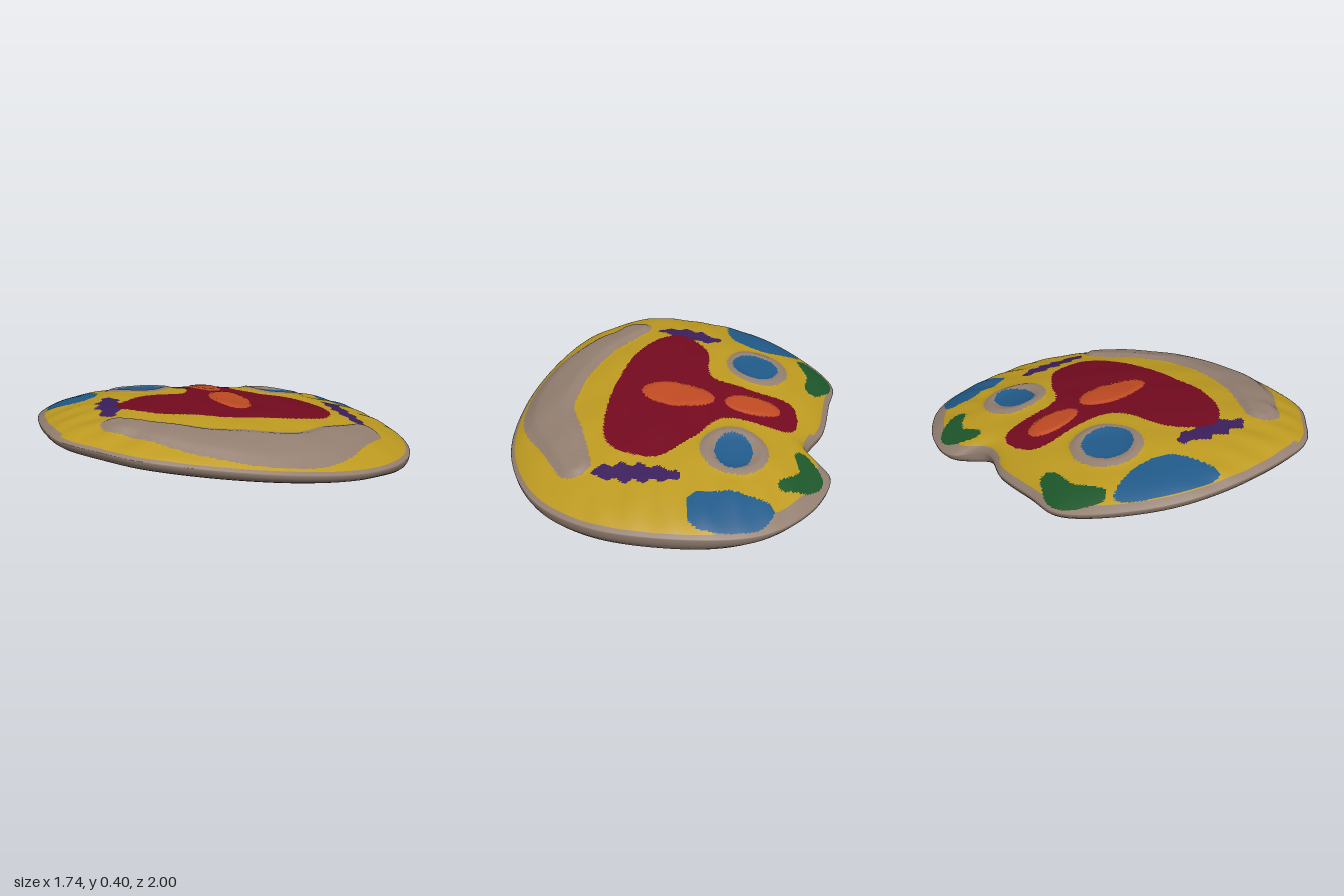
import * as THREE from 'three';

const SEGS = 320, TOP_RINGS = 84, SHEET_RINGS = 36;
const { smoothstep } = THREE.MathUtils;

// Evenly spaced points on a smooth line through x,z pairs
function spline(flat, closed, n) {
  const pts = [];
  for (let i = 0; i < flat.length; i += 2) pts.push(new THREE.Vector3(flat[i], 0, flat[i + 1]));
  return new THREE.CatmullRomCurve3(pts, closed, 'centripetal').getSpacedPoints(n);
}

function insideLoop(pts, x, z) {
  let inside = false;
  pts.forEach((a, i) => {
    const b = pts[(i + 1) % pts.length];
    if ((a.z > z) !== (b.z > z) && x < (b.x - a.x) * (z - a.z) / (b.z - a.z) + a.x) inside = !inside;
  });
  return inside;
}

// Each region helper returns a function of x,z that is below 1 inside the region

function oval(cx, cz, rx, rz, turn = 0) {
  const c = Math.cos(turn), s = Math.sin(turn);
  return (x, z) => Math.hypot(((x - cx) * c + (z - cz) * s) / rx, ((z - cz) * c - (x - cx) * s) / rz);
}

// Rounded band along a line, thicker in the middle, with an optional ragged edge
function band(flat, radius, ragged = 0) {
  const pts = spline(flat, false, 30);
  return (x, z) => {
    let best = 9;
    pts.forEach((p, i) => {
      const r = radius * (.6 + .4 * Math.sin(Math.PI * i / 30));
      best = Math.min(best, Math.hypot(p.x - x, p.z - z) / r);
    });
    return best / (1 + ragged * Math.sin(75 * x));
  };
}

function blob(flat) {
  const pts = spline(flat, true, 80);
  return (x, z) => (insideLoop(pts, x, z) ? 0 : 2);
}

const outlinePath = [-.12, -1, .22, -.945, .55, -.8, .78, -.55, .87, -.18, .8, .2, .62, .57, .4, .84, .24, .93, .05, 1,
  -.14, .965, -.45, .82, -.66, .64, -.84, .33, -.87, .17, -.8, 0, -.7, -.24, -.56, -.43, -.63, -.6, -.52, -.8, -.3, -.96];

const backRing = oval(-.18, -.515, .165, .165), frontRing = oval(-.45, .2, .16, .18);
const smallOval = oval(-.345, -.165, .14, .08, .35), largeOval = oval(.015, -.035, .19, .1, .45);
const ridge = band([.575, -.45, .62, -.25, .67, 0, .6, .25, .42, .52, .13, .74], .14);

// Coloured regions of the upper face, first match wins
const regions = [
  ['backNucleus', 'blue', oval(-.175, -.52, .09, .125, .25)],
  ['frontNucleus', 'blue', oval(-.44, .2, .12, .125)],
  ['backNucleusRing', 'taupe', backRing],
  ['frontNucleusRing', 'taupe', frontRing],
  ['smallOrangeOval', 'orange', smallOval],
  ['largeOrangeOval', 'orange', largeOval],
  ['redCore', 'red', blob([-.5, -.35, -.17, -.27, 0, -.4, .2, -.5, .4, -.37, .36, 0, .1, .5, -.1, .59,
    -.21, .4, -.19, .1, -.35, -.02, -.56, -.13])],
  ['backBluePatch', 'blue', blob([-.29, -.87, -.2, -.97, .09, -.92, .08, -.77, -.1, -.77])],
  ['frontBluePatch', 'blue', blob([-.74, .41, -.54, .41, -.4, .53, -.42, .77, -.64, .6])],
  ['backGreenPatch', 'green', band([-.505, -.54, -.52, -.66, -.46, -.715, -.375, -.735], .057)],
  ['sideGreenPatch', 'green', band([-.72, .05, -.79, .18, -.75, .33], .066)],
  ['backPurpleStrip', 'purple', band([.14, -.64, .32, -.58, .47, -.53], .052, .25)],
  ['frontPurpleStrip', 'purple', band([-.27, .52, -.13, .61, -.03, .68], .06, .25)],
  ['curvedRidge', 'taupe', ridge],
];

// Openings in the underside: a large one at the back and a small square one in front
const backEdge = [[.75, .45], [.35, .14], [.14, -.15], [-.4, -.4], [-.42, -.65], [-.4, -1.1], [1, -1]]
  .map(([x, z]) => ({ x, z }));
const isOpen = (x, z) => (Math.abs(x - .08) < .11 && Math.abs(z - .78) < .1) || insideLoop(backEdge, x, z);

// Height of the tilted rim line, and how far the underside hangs below it
const rimHeight = (x, z) => .225 + .12 * z - .06 * x * x - .015 * x;
const rimDrop = (x, z) => .06 + .045 * smoothstep(-z, .2, .7) * smoothstep(x, -.45, .1);

// Relief on the upper face: ridge, ringed dimples, raised ovals and a lumpy skin
function relief(x, z) {
  let h = .022 * (1 - smoothstep(ridge(x, z), .5, 1.1));
  for (const ring of [backRing, frontRing]) {
    const e = ring(x, z);
    h += .012 * Math.exp(-(((e - .82) / .18) ** 2)) - .006 * Math.exp(-((e / .5) ** 2));
  }
  for (const o of [smallOval, largeOval]) h += .008 * (1 - smoothstep(o(x, z), .8, 1));
  h += .004 * Math.sin(17 * x + 3 * z) * Math.sin(15 * z - 4 * x);
  return h + .005 * Math.sin(42 * x) * smoothstep(Math.abs(z), .6, .8);
}

export function createModel() {
  const materials = {};
  const palette = {
    yellow: 0xbd9a20, taupe: 0x937f71, blue: 0x215a89, green: 0x1d562a,
    purple: 0x3c1f5c, red: 0x740a1f, orange: 0xbf4a22,
  };
  for (const [name, color] of Object.entries(palette)) {
    materials[name] = new THREE.MeshStandardMaterial({ color, side: THREE.DoubleSide });
    materials[name].name = name;
  }

  // Rings from the top centre, over the rim and back under to the centre
  const rings = [];
  for (let i = 0; i <= TOP_RINGS; i++) rings.push({ s: Math.sin(i / TOP_RINGS * 1.4) / Math.sin(1.4), top: true });
  for (let i = 1; i <= 6; i++) {
    const a = i / 6 * Math.PI / 2;
    rings.push({ s: .9 + .1 * Math.cos(a), drop: Math.sin(a) });
  }
  for (let i = SHEET_RINGS - 1; i >= 0; i--) {
    const t = i / SHEET_RINGS;
    rings.push({ s: .9 * t, drop: t * t, sheet: true });
  }

  // Inner rings follow a softened outline so the notch fades out inwards
  const outline = spline(outlinePath, true, SEGS).slice(0, SEGS);
  const soft = outline.map((_, i) => {
    const sum = new THREE.Vector3();
    for (let k = -24; k <= 24; k++) sum.add(outline[(i + k + SEGS) % SEGS]);
    return sum.divideScalar(49);
  });
  const pos = [];
  for (const { s, top, drop } of rings) {
    for (let i = 0; i < SEGS; i++) {
      const { x, z } = soft[i].clone().lerp(outline[i], s ** 6).multiplyScalar(s);
      const lift = top
        ? .1 * (1 - s ** 3) + .03 * (1 - s ** 20) + relief(x, z) * (1 - s ** 12)
        : -drop * rimDrop(x, z);
      pos.push(x, rimHeight(x, z) + lift, z);
    }
  }

  // Sort every face into its named part
  const parts = { topSurface: ['yellow', []], rim: ['taupe', []], undersideSheet: ['taupe', []] };
  for (const [name, color] of regions) parts[name] = [color, []];
  const all = [];
  const addFace = (r, ...face) => {
    const mid = axis => face.reduce((sum, v) => sum + pos[v * 3 + axis], 0) / 3;
    const x = mid(0), z = mid(2);
    let name = 'rim';
    if (rings[r + 1].sheet) {
      if (isOpen(x, z)) return;
      name = 'undersideSheet';
    } else if (rings[r + 1].top) {
      const edge = x > 0 ? .98 : z < -.3 ? .94 : .965;
      const hit = regions.find(region => region[2](x, z) < 1);
      if (hit) name = hit[0];
      else if (rings[r].s < edge) name = 'topSurface';
    }
    parts[name][1].push(...face);
    all.push(...face);
  };
  for (let r = 0; r < rings.length - 1; r++) {
    for (let i = 0; i < SEGS; i++) {
      const a = r * SEGS + i, b = r * SEGS + (i + 1) % SEGS;
      addFace(r, a, b + SEGS, a + SEGS);
      if (r > 0) addFace(r, a, b, b + SEGS);
    }
  }

  // All parts share one smooth set of points and normals, resting on the ground
  const base = new THREE.BufferGeometry();
  base.setAttribute('position', new THREE.Float32BufferAttribute(pos, 3));
  base.setIndex(all);
  base.computeVertexNormals();
  base.computeBoundingBox();
  base.translate(0, -base.boundingBox.min.y, 0);

  const group = new THREE.Group();
  group.name = 'cellSlab';
  for (const [name, [color, index]] of Object.entries(parts)) {
    const geometry = new THREE.BufferGeometry();
    geometry.setAttribute('position', base.attributes.position);
    geometry.setAttribute('normal', base.attributes.normal);
    geometry.setIndex(index);
    const mesh = new THREE.Mesh(geometry, materials[color]);
    mesh.name = name;
    group.add(mesh);
  }
  return group;
}
